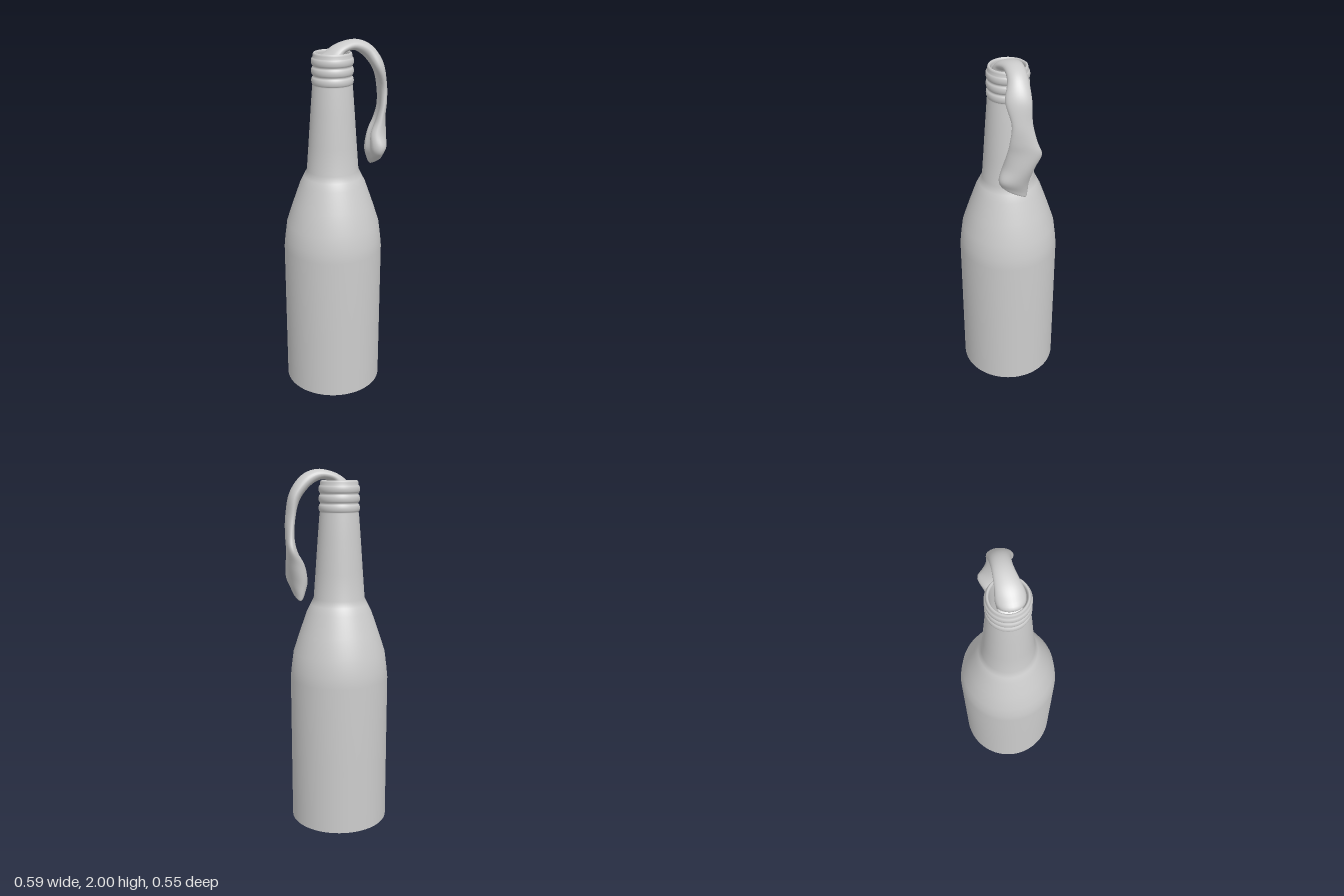
import * as THREE from 'three';

const AXIS_X = -0.019;
const v2 = (x, y) => new THREE.Vector2(x, y);

// Glass outline, from the foot up over the lip and down inside the neck
function bottleProfile() {
  const pts = [v2(0.276, 0), v2(0.276, 0.4), v2(0.276, 0.85), v2(0.27, 0.91), v2(0.258, 1.0),
    v2(0.222, 1.11), v2(0.18, 1.23), v2(0.16, 1.27), v2(0.142, 1.305), v2(0.131, 1.45),
    v2(0.118, 1.63), v2(0.107, 1.77)];
  // Three rounded screw rings
  for (const y of [1.795, 1.845, 1.895]) {
    for (let k = 0; k <= 6; k++) {
      const a = (k / 6) * Math.PI;
      pts.push(v2(0.103 + 0.009 * Math.sin(a), y - 0.021 * Math.cos(a)));
    }
  }
  pts.push(v2(0.103, 1.93), v2(0.1, 1.938), v2(0.095, 1.941), v2(0.09, 1.938), v2(0.087, 1.928),
    v2(0.088, 1.8), v2(0.108, 1.5), v2(0.122, 1.3), v2(0.24, 1.0), v2(0.255, 0.85), v2(0.255, 0.04), v2(0, 0.04));
  return pts;
}

// Sections along the rag: outer x,y, inner x,y, z min, z max, x shear, y shear, crease
const RAG = [
  [-0.03, 1.76, -0.05, 1.76, -0.01, 0.01, 0, 0, 0],
  [0.03, 1.78, -0.085, 1.78, -0.045, 0.06, 0, 0, 0.1],
  [-0.085, 1.9, 0.035, 1.86, -0.06, 0.08, 0, 0, 0.1],
  [-0.055, 1.945, 0.03, 1.9, -0.062, 0.083, 0, 0, 0.1],
  [0.015, 1.985, 0.035, 1.932, -0.055, 0.07, 0, 0, 0.2],
  [0.11, 2.0, 0.09, 1.942, -0.05, 0.052, 0, 0, 0.3],
  [0.195, 1.965, 0.15, 1.91, -0.05, 0.055, 0, 0, 0.3],
  [0.258, 1.875, 0.2, 1.84, -0.05, 0.078, -0.01, 0, 0.35],
  [0.281, 1.755, 0.233, 1.75, -0.05, 0.056, 0, 0, 0.4],
  [0.288, 1.66, 0.238, 1.65, -0.07, 0.064, -0.01, 0, 0.5],
  [0.288, 1.59, 0.22, 1.57, -0.095, 0.074, -0.02, 0, 0.5],
  [0.284, 1.5, 0.175, 1.5, -0.07, 0.09, -0.015, 0, 0.5],
  [0.272, 1.42, 0.162, 1.42, -0.05, 0.112, 0.005, 0.015, 0.4],
  [0.25, 1.365, 0.18, 1.365, -0.042, 0.105, 0.005, 0.03, 0.3],
  [0.24, 1.335, 0.2, 1.335, -0.035, 0.075, 0.005, 0.03, 0.2],
  [0.225, 1.325, 0.215, 1.325, -0.02, 0.04, 0, 0.015, 0],
];

// Smooth loft through the folded cloth sections
function ragGeometry() {
  const rows = 75, sides = 28, pos = [], idx = [];
  const cr = (p, q, r, s, t) => 0.5 * (2 * q + (r - p) * t + (2 * p - 5 * q + 4 * r - s) * t * t
    + (3 * q - p - 3 * r + s) * t * t * t);
  const at = (i) => RAG[Math.min(Math.max(i, 0), RAG.length - 1)];
  for (let j = 0; j <= rows; j++) {
    const f = (j / rows) * (RAG.length - 1);
    const k = Math.min(Math.floor(f), RAG.length - 2);
    const [ox, oy, ix, iy, z0, z1, sx, sy, crease] = RAG[0].map((_, c) =>
      cr(at(k - 1)[c], at(k)[c], at(k + 1)[c], at(k + 2)[c], f - k));
    for (let i = 0; i < sides; i++) {
      const a = (i / sides) * Math.PI * 2, s = Math.sin(a);
      let c = Math.cos(a);
      // The underside is pinched into a long fold
      if (c < 0) c *= 1 - crease * Math.exp(-Math.pow((s - 0.1) / 0.35, 2));
      pos.push((ox + ix) / 2 + (ox - ix) / 2 * c + sx * s,
        (oy + iy) / 2 + (oy - iy) / 2 * c + sy * s,
        (z0 + z1) / 2 + (z1 - z0) / 2 * s);
      if (j < rows) {
        const n = (i + 1) % sides, p = j * sides, q = p + sides;
        idx.push(p + i, p + n, q + i, p + n, q + n, q + i);
      }
    }
  }
  // Close both ends
  const last = rows * sides;
  for (let i = 1; i < sides - 1; i++) {
    idx.push(0, i + 1, i, last, last + i, last + i + 1);
  }
  const g = new THREE.BufferGeometry();
  g.setAttribute('position', new THREE.Float32BufferAttribute(pos, 3));
  g.setIndex(idx);
  g.computeVertexNormals();
  return g;
}

export function createModel() {
  const model = new THREE.Group();
  model.name = 'bottleWithRag';
  const grey = new THREE.MeshStandardMaterial({ color: 0xcccccc, side: THREE.DoubleSide });
  grey.name = 'light grey';
  const add = (name, geometry, x = 0) => {
    const mesh = new THREE.Mesh(geometry, grey);
    mesh.name = name;
    mesh.position.x = x;
    model.add(mesh);
    return mesh;
  };

  add('bottle', new THREE.LatheGeometry(bottleProfile(), 72), AXIS_X);
  add('bottleBase', new THREE.CircleGeometry(0.276, 72).rotateX(Math.PI / 2), AXIS_X);
  add('rag', ragGeometry());
  return model;
}
